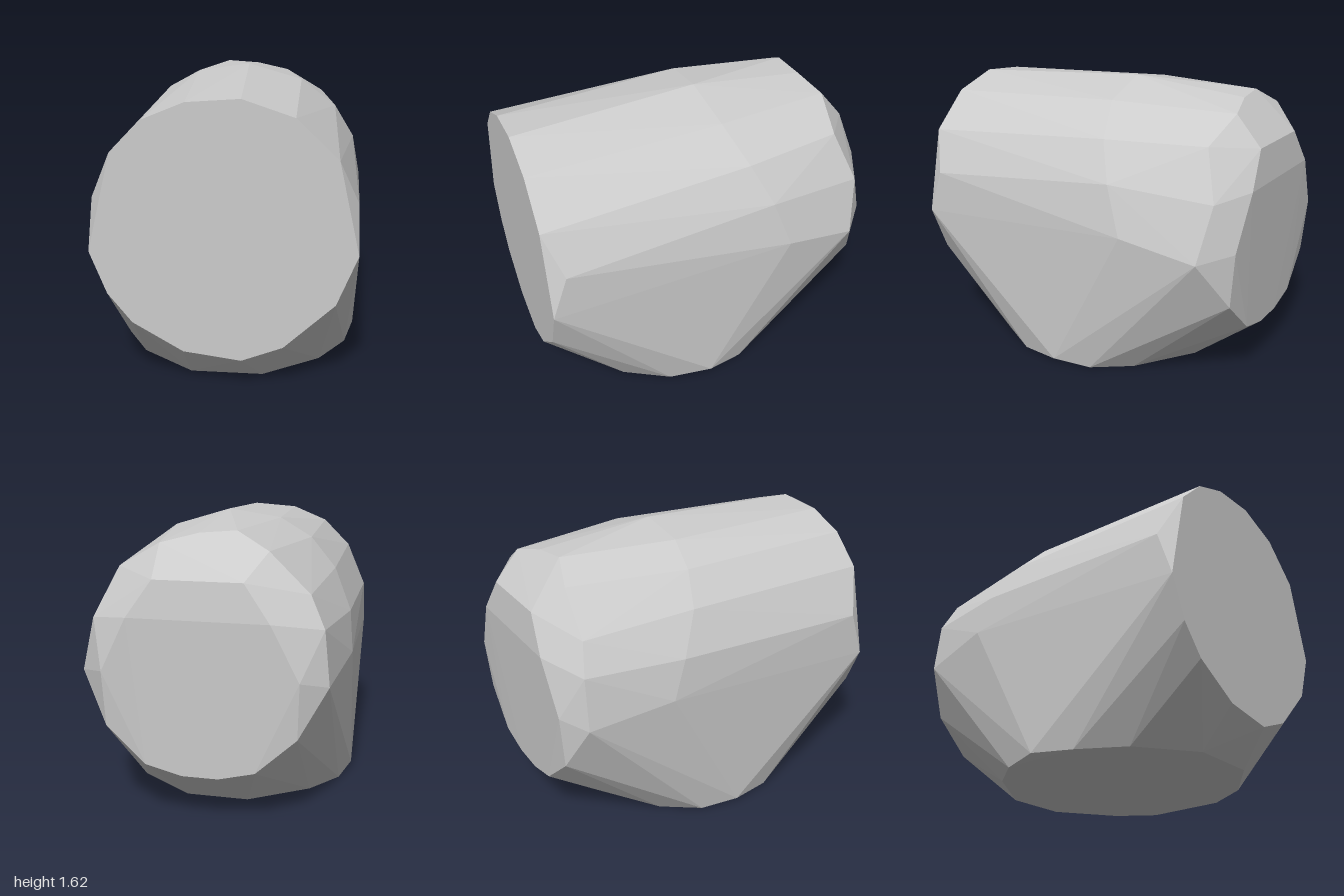
import * as THREE from 'three';
import { ConvexGeometry } from 'three/addons/geometries/ConvexGeometry.js';

const at = (list, z) => list.map(([x, y]) => [x, y, z]);

// Flat front disc
const frontRing = at([
  [0.10, 1.57], [0.37, 1.48], [0.59, 1.27], [0.70, 0.78], [0.59, 0.51], [0.32, 0.26],
  [0.10, 0.175], [-0.21, 0.215], [-0.48, 0.37], [-0.61, 0.53], [-0.70, 0.76],
  [-0.57, 1.29], [-0.40, 1.46], [-0.18, 1.55],
], 1);

// Widest section of the barrel, plus one shoulder point on each side
const barrelRing = [
  [0.74, 0.88, -0.4], [0.69, 1.15, -0.3], [0.57, 1.36, -0.2], [0.36, 1.53, -0.12],
  [0.04, 1.625, -0.09], [-0.27, 1.58, -0.1], [-0.46, 1.475, -0.14], [-0.61, 1.31, -0.2],
  [-0.715, 1.09, -0.32], [-0.74, 0.87, -0.4], [0.695, 1.03, 0.91], [-0.695, 1.03, 0.91],
];

// Chipped edge around the back
const backRim = [
  [0.69, 0.80, -0.835], [0.60, 1.11, -0.885], [0.48, 1.375, -0.785], [0.24, 1.51, -0.83],
  [0.04, 1.56, -0.78], [-0.16, 1.575, -0.76], [-0.34, 1.48, -0.82], [-0.56, 1.27, -0.84],
  [-0.64, 1.10, -0.88], [-0.67, 0.80, -0.88],
];

// Nearly flat back and the mirrored half of the base
const mirrored = [
  [0.38, 1.14, -1], [0.24, 1.34, -0.975], [0.53, 0.84, -0.985], [0.52, 0.53, -0.96],
  [0.30, 0.33, -0.97], [0.10, 0.28, -0.97],
  [0.20, 0, 0.80], [0.51, 0, 0.57], [0.66, 0, 0.32], [0.715, 0.02, 0.07],
  [0.66, 0, -0.15], [0.51, 0, -0.36], [0.18, 0, -0.59],
].flatMap(([x, y, z]) => [[x, y, z], [-x, y, z]]);

export function createModel() {
  const group = new THREE.Group();
  group.name = 'facetedBlock';

  const stone = new THREE.MeshStandardMaterial({ color: 0xcccccc });
  stone.name = 'light grey';

  // One faceted convex body through all the sections
  const points = [...frontRing, ...barrelRing, ...backRim, ...mirrored]
    .map((p) => new THREE.Vector3(...p));
  const body = new THREE.Mesh(new ConvexGeometry(points), stone);
  body.name = 'body';
  group.add(body);
  return group;
}
